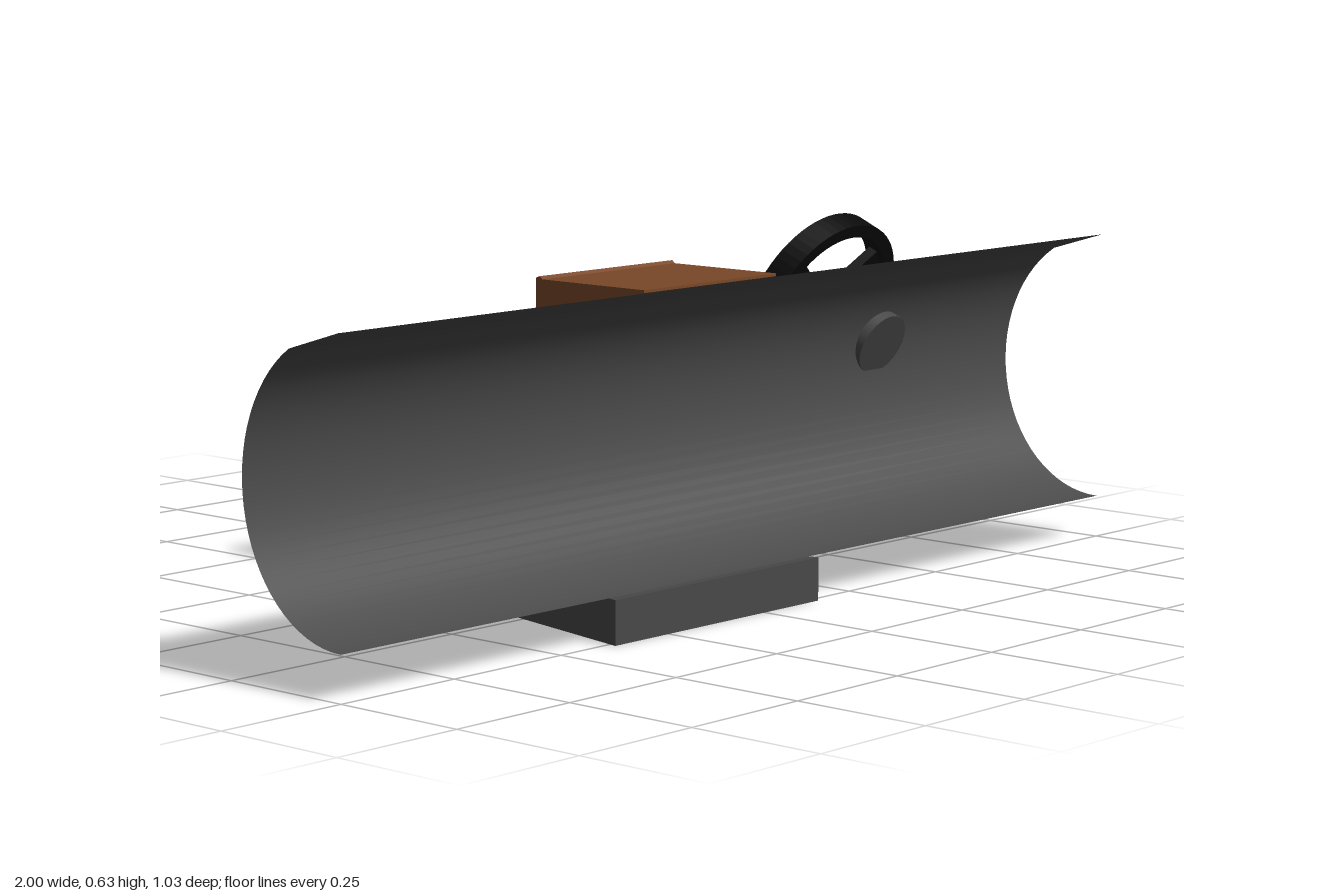
import * as THREE from 'three';

const mat = (color, side = THREE.FrontSide) => new THREE.MeshStandardMaterial({ color, side });
const GREY = mat(0x484848), BROWN = mat(0x7a4828), TRIM = mat(0x4a2a1a), BLACK = mat(0x0a0a0a);
const SHELL = mat(0x4c4c4c, THREE.DoubleSide), CUP = mat(0x484848, THREE.DoubleSide);

// Half-ellipse section of the dashboard as [z, y], top to bottom
const arc = [[0.5, 0.578]];
for (let deg = 30; deg <= 180; deg += 5) {
  const a = THREE.MathUtils.degToRad(deg);
  arc.push([0.5 - 0.22 * Math.sin(a), 0.328 + 0.25 * Math.cos(a)]);
}

function add(parent, name, geometry, material, x = 0, y = 0, z = 0) {
  const mesh = new THREE.Mesh(geometry, material);
  mesh.name = name;
  mesh.position.set(x, y, z);
  parent.add(mesh);
  return mesh;
}

// Extrude a [z, y] section along x from x0 to x1
function extrudeX(points, x0, x1) {
  const shape = new THREE.Shape(points.map(([z, y]) => new THREE.Vector2(-z, y)));
  return new THREE.ExtrudeGeometry(shape, { depth: x1 - x0, bevelEnabled: false })
    .rotateY(Math.PI / 2).translate(x0, 0, 0);
}

function roundedRect(w, h, r) {
  const s = new THREE.Shape(), x = w / 2, y = h / 2;
  s.absarc(x - r, y - r, r, 0, Math.PI / 2);
  s.absarc(r - x, y - r, r, Math.PI / 2, Math.PI);
  s.absarc(r - x, r - y, r, Math.PI, Math.PI * 1.5);
  s.absarc(x - r, r - y, r, Math.PI * 1.5, Math.PI * 2);
  return s;
}

// Tapering sides of the base
const baseLeft = z => 0.033 + 0.218 * z;
const baseRight = z => -0.27 - 0.222 * z;

function buildDashboard(root) {
  const rows = arc.length - 1;
  const geo = new THREE.PlaneGeometry(2, 1, 1, rows);
  const pos = geo.attributes.position;
  for (let i = 0; i < pos.count; i++) {
    const [z, y] = arc[Math.floor(i / 2)];
    pos.setXYZ(i, pos.getX(i), y, z);
  }
  geo.computeVertexNormals();
  add(root, 'dashboardShell', geo, SHELL);
}

function buildBase(root) {
  const back = -0.165, split = 0.3, top = 0.14;
  const cups = [-0.2, -0.05], cupZ = 0.1, cupR = 0.06;
  const plan = () => new THREE.Shape([
    [baseRight(split), -split], [baseLeft(split), -split],
    [baseLeft(back), -back], [baseRight(back), -back],
  ].map(p => new THREE.Vector2(...p)));
  const slab = (shape, depth, y) => new THREE.ExtrudeGeometry(shape, { depth, bevelEnabled: false, curveSegments: 24 })
    .rotateX(-Math.PI / 2).translate(0, y, 0);

  // Rear deck with openings for the cup holders
  const deck = plan();
  for (const x of cups) deck.holes.push(new THREE.Path().absarc(x, -cupZ, cupR, 0, Math.PI * 2, true));
  add(root, 'baseFloor', slab(plan(), 0.02, 0), GREY);
  add(root, 'baseDeck', slab(deck, top - 0.02, 0.02), GREY);
  for (const x of cups) {
    const profile = [[0, 0.085], [0.022, 0.085], [0.026, 0.095], [cupR, top]].map(p => new THREE.Vector2(...p));
    add(root, 'cupHolder', new THREE.LatheGeometry(profile, 32), CUP, x, 0, cupZ);
  }

  // Front of the base, hollowed to meet the dashboard
  const curve = arc.filter(([, y]) => y < top).map(([z, y]) => [z - 0.003, y - 0.001]);
  const geo = extrudeX([[split, 0], [split, top], [0.352, top], ...curve, [0.515, 0.077], [0.515, 0]], 0, 1);
  const pos = geo.attributes.position;
  for (let i = 0; i < pos.count; i++) {
    const z = pos.getZ(i);
    pos.setX(i, THREE.MathUtils.lerp(baseRight(z), baseLeft(z), pos.getX(i)));
  }
  geo.computeVertexNormals();
  add(root, 'baseFront', geo, GREY);

  add(root, 'armrest', new THREE.BoxGeometry(0.215, 0.095, 0.347), BROWN, -0.1175, 0.0725, -0.3385);
}

function buildConsole(root) {
  const g = new THREE.Group();
  g.name = 'centreConsole';
  root.add(g);
  const midX = -0.125;

  // Housing follows the back of the dashboard
  const curve = arc.filter(([, y]) => y > 0.135).map(([z, y]) => [z - 0.004, y]);
  add(g, 'consoleHousing', extrudeX([[0.252, 0.13], [0.252, 0.585], [0.26, 0.588], [0.266, 0.583],
    [0.496, 0.583], ...curve, [0.355, 0.13]], -0.295, 0.045), BROWN);

  // Screen with its frame
  const frame = roundedRect(0.3, 0.25, 0.015);
  frame.holes.push(roundedRect(0.25, 0.195, 0.04));
  add(g, 'screenFrame', new THREE.ExtrudeGeometry(frame, { depth: 0.012, bevelEnabled: false }), TRIM, midX, 0.446, 0.237);
  add(g, 'screen', new THREE.ExtrudeGeometry(roundedRect(0.26, 0.205, 0.04), { depth: 0.01, bevelEnabled: false }),
    BLACK, midX, 0.446, 0.243);

  // Two rows of buttons
  for (const y of [0.283, 0.22])
    for (let i = 0; i < 4; i++)
      add(g, 'button', new THREE.BoxGeometry(0.043, 0.04, 0.008), BLACK, midX + (i - 1.5) * 0.072, y, 0.25);
}

function buildSteering(root) {
  const g = new THREE.Group();
  g.name = 'steering';
  g.position.set(0.588, 0.457, 0.15);
  g.rotation.x = 0.415;
  root.add(g);
  const thick = 0.049, outer = 0.175, inner = 0.15;
  const cylinder = (r0, r1, z0, z1) =>
    new THREE.CylinderGeometry(r1, r0, z1 - z0, 32).rotateX(Math.PI / 2).translate(0, 0, (z0 + z1) / 2);

  add(g, 'steeringColumn', cylinder(0.06, 0.06, 0.035, 0.166), GREY);
  add(g, 'steeringHub', cylinder(0.026, 0.035, -0.02, 0.04), GREY);

  const rim = new THREE.Shape().absarc(0, 0, outer, 0, Math.PI * 2);
  rim.holes.push(new THREE.Path().absarc(0, 0, inner, 0, Math.PI * 2, true));
  add(g, 'steeringRim', new THREE.ExtrudeGeometry(rim, { depth: thick, bevelEnabled: false, curveSegments: 32 }),
    BLACK, 0, 0, -thick / 2);

  // Spokes widen towards the rim
  const spoke = new THREE.Shape([[0.01, -0.012], [0.153, -0.036], [0.153, 0.036], [0.01, 0.012]]
    .map(p => new THREE.Vector2(...p)));
  for (let i = 0; i < 3; i++) {
    const mesh = add(g, 'steeringSpoke', new THREE.ExtrudeGeometry(spoke, { depth: 0.02, bevelEnabled: false }),
      BLACK, 0, 0, -0.01);
    mesh.rotation.z = Math.PI / 6 + i * Math.PI * 2 / 3;
  }
}

export function createModel() {
  const root = new THREE.Group();
  root.name = 'dashboard';
  buildDashboard(root);
  buildBase(root);
  buildConsole(root);
  buildSteering(root);
  return root;
}
